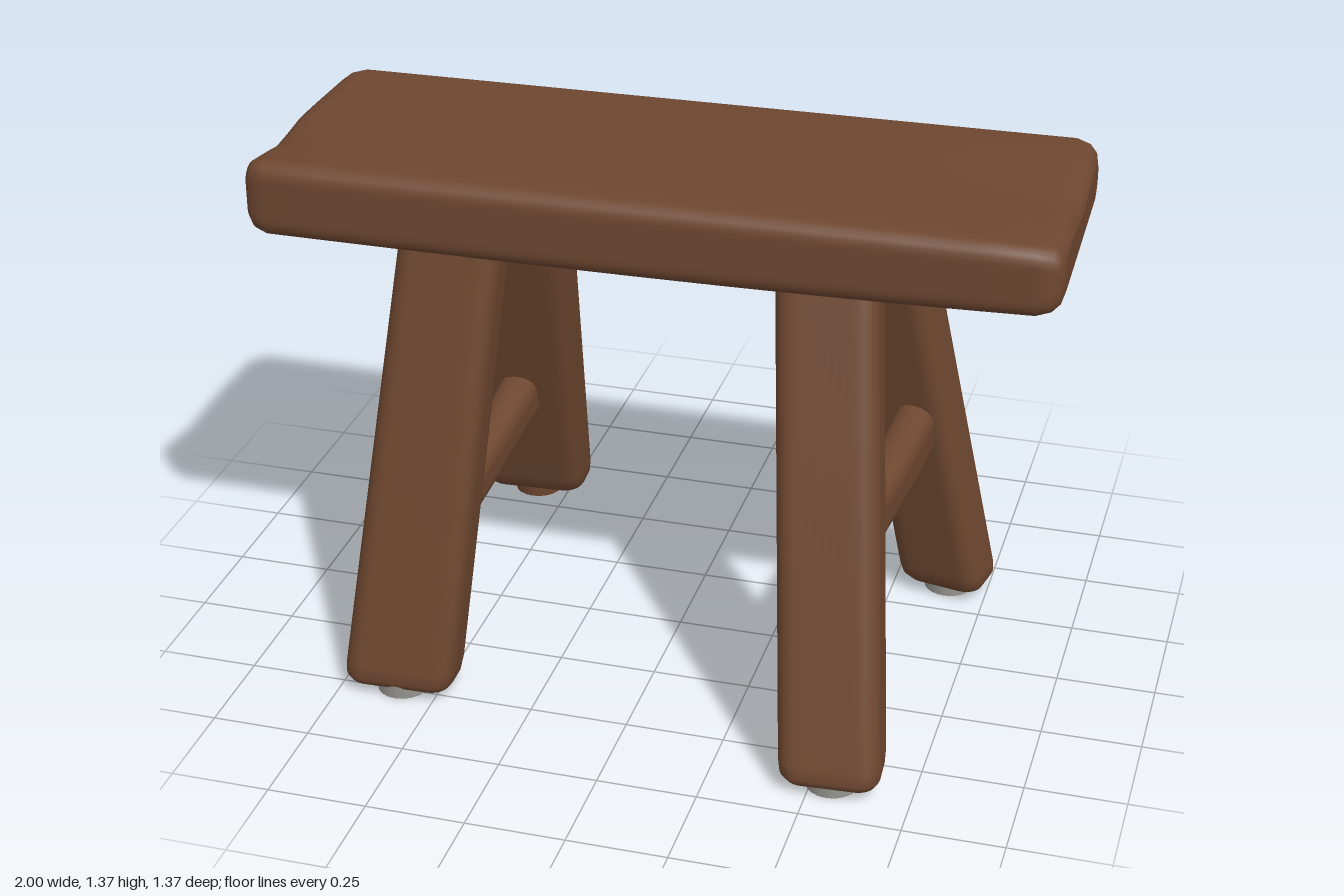
import * as THREE from 'three';

const wood = new THREE.MeshStandardMaterial({ color: 0x6e4730 });
wood.name = 'brown wood';
const pad = new THREE.MeshStandardMaterial({ color: 0x9a9892 });
pad.name = 'grey pad';

// Rounded rectangle outline, counter-clockwise, with extra points along the edges
function outline(hu, hv, r) {
  const pts = [];
  const corners = [[1, 1], [-1, 1], [-1, -1], [1, -1]];
  const arc = corners.map(([su, sv], k) => {
    const list = [];
    for (let i = 0; i <= 5; i++) {
      const a = (k + i / 5) * Math.PI / 2;
      list.push([su * (hu - r) + r * Math.cos(a), sv * (hv - r) + r * Math.sin(a)]);
    }
    return list;
  });
  arc.forEach((list, k) => {
    pts.push(...list);
    const a = list[5], b = arc[(k + 1) % 4][0];
    for (let i = 1; i < 8; i++) pts.push([a[0] + (b[0] - a[0]) * i / 8, a[1] + (b[1] - a[1]) * i / 8]);
  });
  return pts;
}

// Skin a row of rounded rectangles along an axis: at, centre u/v, half sizes, radius, turn
const place = {
  x: (u, v, w) => [w, u, v],
  y: (u, v, w) => [v, w, u],
  z: (u, v, w) => [u, v, w],
};
function loft(axis, sections, warp = (p) => p) {
  const pos = [], idx = [];
  const rings = sections.map((s) => {
    const c = Math.cos(s.turn || 0), n = Math.sin(s.turn || 0);
    return outline(s.hu, s.hv, s.r).map(([u, v]) =>
      warp(place[axis](s.u + u * c - v * n, s.v + u * n + v * c, s.at)));
  });
  const N = rings[0].length;
  rings.forEach((ring) => ring.forEach((p) => pos.push(...p)));
  for (let j = 0; j < rings.length - 1; j++) {
    for (let i = 0; i < N; i++) {
      const a = j * N + i, b = j * N + (i + 1) % N;
      idx.push(a, b, b + N, a, b + N, a + N);
    }
  }
  // End caps
  [[0, -1], [rings.length - 1, 1]].forEach(([j, dir]) => {
    const base = pos.length / 3, s = sections[j];
    rings[j].forEach((p) => pos.push(...p));
    pos.push(...warp(place[axis](s.u, s.v, s.at)));
    for (let i = 0; i < N; i++) {
      const a = base + i, b = base + (i + 1) % N;
      if (dir > 0) idx.push(a, b, base + N); else idx.push(b, a, base + N);
    }
  });
  const g = new THREE.BufferGeometry();
  g.setAttribute('position', new THREE.Float32BufferAttribute(pos, 3));
  g.setIndex(idx);
  g.computeVertexNormals();
  return g;
}

const lerp = THREE.MathUtils.lerp;

// Thick plank, slightly rising to one end, with a shallow dip in the top near both ends
function seatGeometry() {
  const xs = [[-1, 0.055, 0.04], [-0.993, 0.03, 0.02], [-0.975, 0.012, 0.007], [-0.94, 0, 0]];
  for (let i = -4; i <= 4; i++) xs.push([i * 0.2, 0, 0]);
  xs.push([0.94, 0, 0], [0.975, 0.012, 0.007], [0.993, 0.03, 0.02], [1, 0.055, 0.04]);
  const sections = xs.map(([x, inZ, inY]) => {
    const t = (x + 1) / 2;
    const top = lerp(1.353, 1.373, t);
    const bottom = 1.16 + 0.012 * t + 0.028 * t * t * t;
    return {
      at: x, u: (top + bottom) / 2, v: lerp(0.032, 0.055, t),
      hu: (top - bottom) / 2 - inY, hv: lerp(0.35, 0.358, t) - inZ, r: 0.042,
    };
  });
  return loft('x', sections, ([x, y, z]) => {
    const end = THREE.MathUtils.smoothstep(Math.abs(x), 0.75, 1);
    const dipZ = x < 0 ? 0.17 : 0.05;
    const dip = y > 1.3 ? 0.022 * end * Math.exp(-(((z - dipZ) / 0.1) ** 2)) : 0;
    return [x * (0.99 + 0.025 * (z - 0.04)), y - dip, z];
  });
}

// Splayed legs: bottom and top as [x, z, half width, half depth], turn about the upright
const legs = [
  { name: 'frontLeftLeg', bottom: [0.55, 0.605, 0.125, 0.085], top: [0.445, 0.295, 0.122, 0.085], turn: 0.06 },
  { name: 'backLeftLeg', bottom: [0.645, -0.385, 0.115, 0.085], top: [0.46, -0.185, 0.11, 0.078], turn: -0.2 },
  { name: 'frontRightLeg', bottom: [-0.597, 0.48, 0.143, 0.078], top: [-0.485, 0.285, 0.128, 0.08], turn: 0.03 },
  { name: 'backRightLeg', bottom: [-0.59, -0.605, 0.143, 0.083], top: [-0.5, -0.22, 0.128, 0.085], turn: 0.06 },
];

function legGeometry({ bottom, top, turn }) {
  const levels = [[0.022, 0.03], [0.03, 0.014], [0.048, 0.003], [0.08, 0], [0.3, 0], [0.55, 0], [0.85, 0], [1.17, 0], [1.25, 0]];
  return loft('y', levels.map(([y, inset]) => {
    const t = (y - 0.03) / 1.14;
    const [x, z, hw, hd] = bottom.map((b, i) => lerp(b, top[i], t));
    return { at: y, u: z, v: x, hu: hd - inset, hv: hw - inset, r: 0.045, turn };
  }));
}

// Side rails as [z, x, y, half height], thicker where they meet the legs
const rails = [
  { name: 'leftRail', path: [[-0.3, 0.57, 0.55, 0.09], [-0.19, 0.565, 0.547, 0.079], [-0.05, 0.555, 0.536, 0.075], [0.12, 0.54, 0.528, 0.075], [0.3, 0.52, 0.517, 0.073], [0.37, 0.51, 0.51, 0.083], [0.45, 0.5, 0.505, 0.09]] },
  { name: 'rightRail', path: [[-0.5, -0.57, 0.405, 0.08], [-0.3, -0.57, 0.385, 0.068], [-0.1, -0.575, 0.359, 0.068], [0.08, -0.58, 0.34, 0.068], [0.21, -0.585, 0.322, 0.066], [0.3, -0.59, 0.294, 0.05], [0.35, -0.59, 0.288, 0.058], [0.45, -0.59, 0.285, 0.08]] },
];

export function createModel() {
  const model = new THREE.Group();
  model.name = 'bench';
  const add = (name, geometry, material) => {
    const mesh = new THREE.Mesh(geometry, material);
    mesh.name = name;
    model.add(mesh);
    return mesh;
  };

  add('seat', seatGeometry(), wood);

  legs.forEach((leg) => {
    add(leg.name, legGeometry(leg), wood);
    // Foot pad: one has a wooden rim, all have a grey sole
    const rim = leg.name === 'backRightLeg' ? wood : pad;
    const foot = add(leg.name + 'Pad', new THREE.CylinderGeometry(0.068, 0.065, 0.036, 20), [rim, rim, pad]);
    foot.position.set(leg.bottom[0], 0.018, leg.bottom[1]);
  });

  rails.forEach(({ name, path }) => {
    const sections = path.map(([z, x, y, h]) => ({ at: z, u: x, v: y, hu: 0.052, hv: h, r: 0.045 }));
    add(name, loft('z', sections), wood);
  });

  return model;
}
